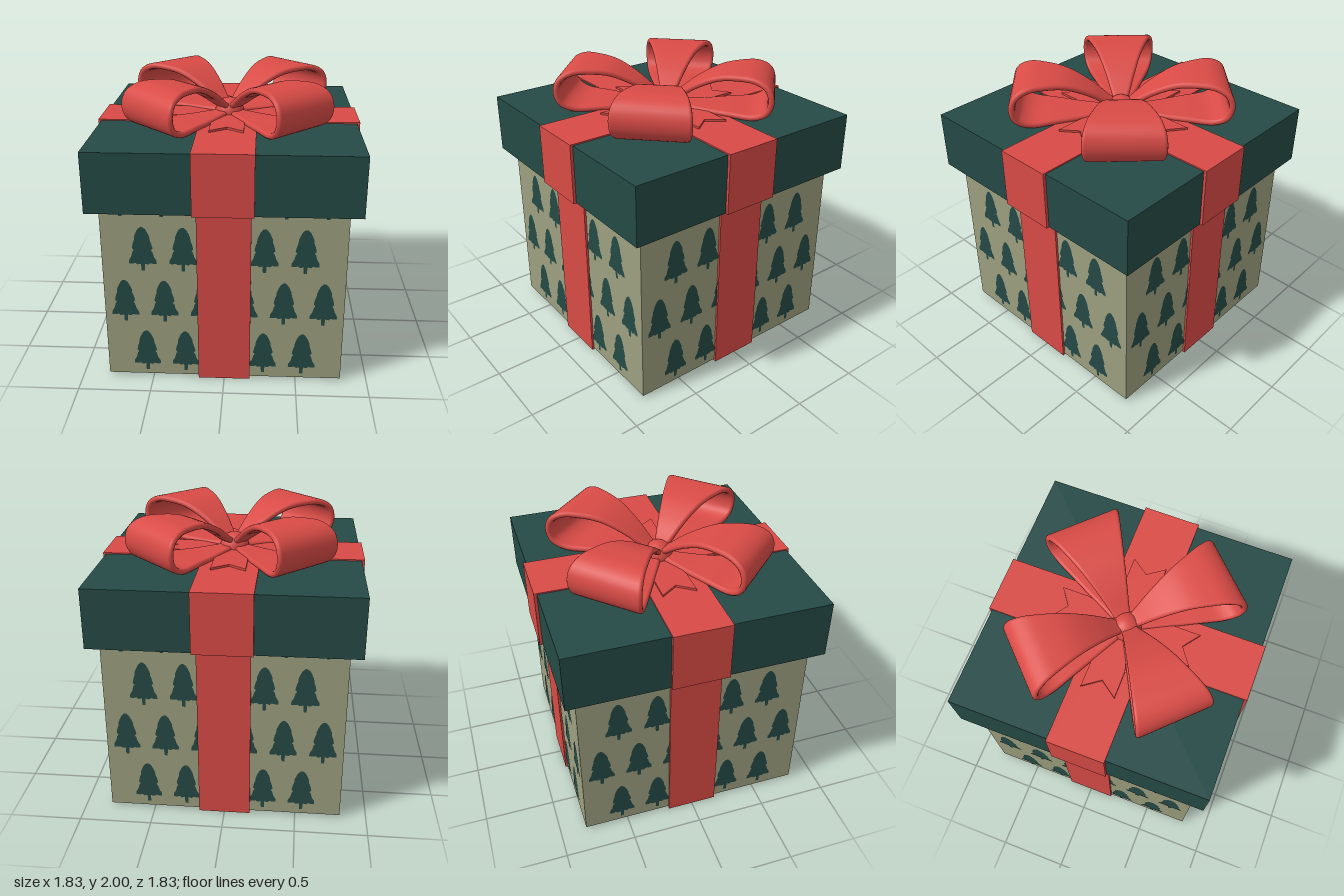
import * as THREE from 'three';

const red = new THREE.MeshStandardMaterial({ color: 0xd94b46 });
red.name = 'ribbon red';
const green = new THREE.MeshStandardMaterial({ color: 0x254a46 });
green.name = 'pine green';
const khaki = new THREE.MeshStandardMaterial({ color: 0x9da07f });
khaki.name = 'paper khaki';

function add(parent, name, geometry, material, x = 0, y = 0, z = 0) {
  const mesh = new THREE.Mesh(geometry, material);
  mesh.name = name;
  mesh.position.set(x, y, z);
  parent.add(mesh);
  return mesh;
}

const polygon = (pts) => new THREE.Shape(pts.map(([x, y]) => new THREE.Vector2(x, y)));

// Printed fir tree, mirrored from its right half, foot at the origin
function treeGeometry() {
  const half = [[0.011, 0], [0.013, 0.05], [0.035, 0.044], [0.05, 0.055], [0.07, 0.05], [0.093, 0.052],
    [0.092, 0.075], [0.075, 0.105], [0.066, 0.14], [0.057, 0.15], [0.069, 0.165], [0.061, 0.2],
    [0.052, 0.225], [0.05, 0.25], [0.04, 0.275], [0.026, 0.303], [0.008, 0.32]];
  const mirrored = half.map(([x, y]) => [-x, y]).reverse();
  return new THREE.ShapeGeometry(polygon([...half, ...mirrored]));
}

// One printed face: four staggered rows of trees
function treePanel(name, tree) {
  const panel = new THREE.Group();
  panel.name = name;
  for (let row = 0; row < 4; row++) {
    const columns = row % 2 ? [-0.675, -0.405, -0.135, 0.135, 0.405, 0.675] : [-0.54, -0.27, 0.27, 0.54];
    for (const x of columns) add(panel, 'tree', tree, green, x, -0.775 + row * 0.395, 0);
  }
  return panel;
}

// Bow loop: a rounded strip swept round a teardrop path, widening outwards along +x
function loopGeometry() {
  const path = new THREE.CatmullRomCurve3([
    [0.02, 1.735], [0.1, 1.8], [0.22, 1.885], [0.38, 1.96], [0.52, 1.98], [0.63, 1.975], [0.71, 1.93],
    [0.737, 1.848], [0.71, 1.765], [0.63, 1.72], [0.45, 1.714], [0.2, 1.714],
  ].map(([x, y]) => new THREE.Vector3(x, y, 0)), true);
  const steps = 72, t = 0.021, arc = 6;
  const section = [];
  for (const side of [1, -1]) {
    for (let k = 0; k <= arc; k++) {
      const a = Math.PI * k / arc;
      section.push([side * Math.cos(a) * t, side * Math.sin(a) * t, side]);
    }
  }
  const n = section.length, pos = [], idx = [];
  for (let i = 0; i < steps; i++) {
    const p = path.getPointAt(i / steps), d = path.getTangentAt(i / steps);
    const w = 0.035 + 0.315 * Math.max(p.x, 0);
    for (const [off, lateral, side] of section) {
      pos.push(p.x - d.y * off, p.y + d.x * off, side * (w - t) + lateral);
    }
    for (let j = 0; j < n; j++) {
      const a = i * n + j, b = i * n + (j + 1) % n;
      const c = ((i + 1) % steps) * n + j, e = ((i + 1) % steps) * n + (j + 1) % n;
      idx.push(a, b, c, b, e, c);
    }
  }
  const g = new THREE.BufferGeometry();
  g.setAttribute('position', new THREE.Float32BufferAttribute(pos, 3));
  g.setIndex(idx);
  g.computeVertexNormals();
  return g;
}

// Ribbon tail with a swallow-tail end, lying along +x
function tailGeometry() {
  const shape = polygon([[0, -0.03], [0.3, -0.117], [0.495, -0.117], [0.41, 0], [0.495, 0.117], [0.3, 0.117], [0, 0.03]]);
  const g = new THREE.ExtrudeGeometry(shape, { depth: 0.015, bevelEnabled: false });
  return g.rotateX(-Math.PI / 2);
}

export function createModel() {
  const model = new THREE.Group();
  model.name = 'giftBox';

  // Wrapped body with a printed pattern on its sides and base
  add(model, 'body', new THREE.BoxGeometry(1.63, 1.635, 1.63), khaki, 0, 0.8325, 0);
  const tree = treeGeometry();
  for (let i = 0; i < 4; i++) {
    const a = i * Math.PI / 2;
    const panel = treePanel('sidePattern', tree);
    panel.rotation.y = a;
    panel.position.set(Math.sin(a) * 0.818, 0.825, Math.cos(a) * 0.818);
    model.add(panel);
  }
  const base = treePanel('basePattern', tree);
  base.rotation.x = Math.PI / 2;
  base.position.y = 0.012;
  model.add(base);

  // Crossed ribbon round the body
  add(model, 'bodyRibbonAcross', new THREE.BoxGeometry(1.66, 1.655, 0.36), red, 0, 0.8275, 0);
  add(model, 'bodyRibbonDeep', new THREE.BoxGeometry(0.36, 1.655, 1.66), red, 0, 0.8275, 0);

  // Lid, hollow from below
  const L = 0.895, I = 0.865;
  const rim = polygon([[-L, -L], [L, -L], [L, L], [-L, L]]);
  rim.holes.push(polygon([[-I, -I], [-I, I], [I, I], [I, -I]]));
  const rimGeometry = new THREE.ExtrudeGeometry(rim, { depth: 0.385, bevelEnabled: false }).rotateX(-Math.PI / 2);
  add(model, 'lidRim', rimGeometry, green, 0, 1.28, 0);
  add(model, 'lidTop', new THREE.BoxGeometry(L * 2, 0.03, L * 2), green, 0, 1.678, 0);

  // Crossed ribbon over the lid
  const R = 0.915, S = 0.89;
  const strap = polygon([[-R, 1.278], [-S, 1.278], [-S, 1.68], [S, 1.68], [S, 1.278], [R, 1.278], [R, 1.702], [-R, 1.702]]);
  const strapGeometry = new THREE.ExtrudeGeometry(strap, { depth: 0.4, bevelEnabled: false }).translate(0, 0, -0.2);
  add(model, 'lidRibbonAcross', strapGeometry, red);
  add(model, 'lidRibbonDeep', strapGeometry, red).rotation.y = Math.PI / 2;

  // Bow: four diagonal loops, four tails and a round knot
  const bow = new THREE.Group();
  bow.name = 'bow';
  model.add(bow);
  const loop = loopGeometry(), tail = tailGeometry();
  for (let i = 0; i < 4; i++) {
    add(bow, 'bowLoop', loop, red).rotation.y = (i + 0.5) * Math.PI / 2;
    const end = add(bow, 'bowTail', tail, red, 0, 1.703, -0.01);
    end.rotation.y = i * Math.PI / 2;
  }
  add(bow, 'knot', new THREE.SphereGeometry(0.105, 32, 20), red, 0, 1.715, 0);
  return model;
}
